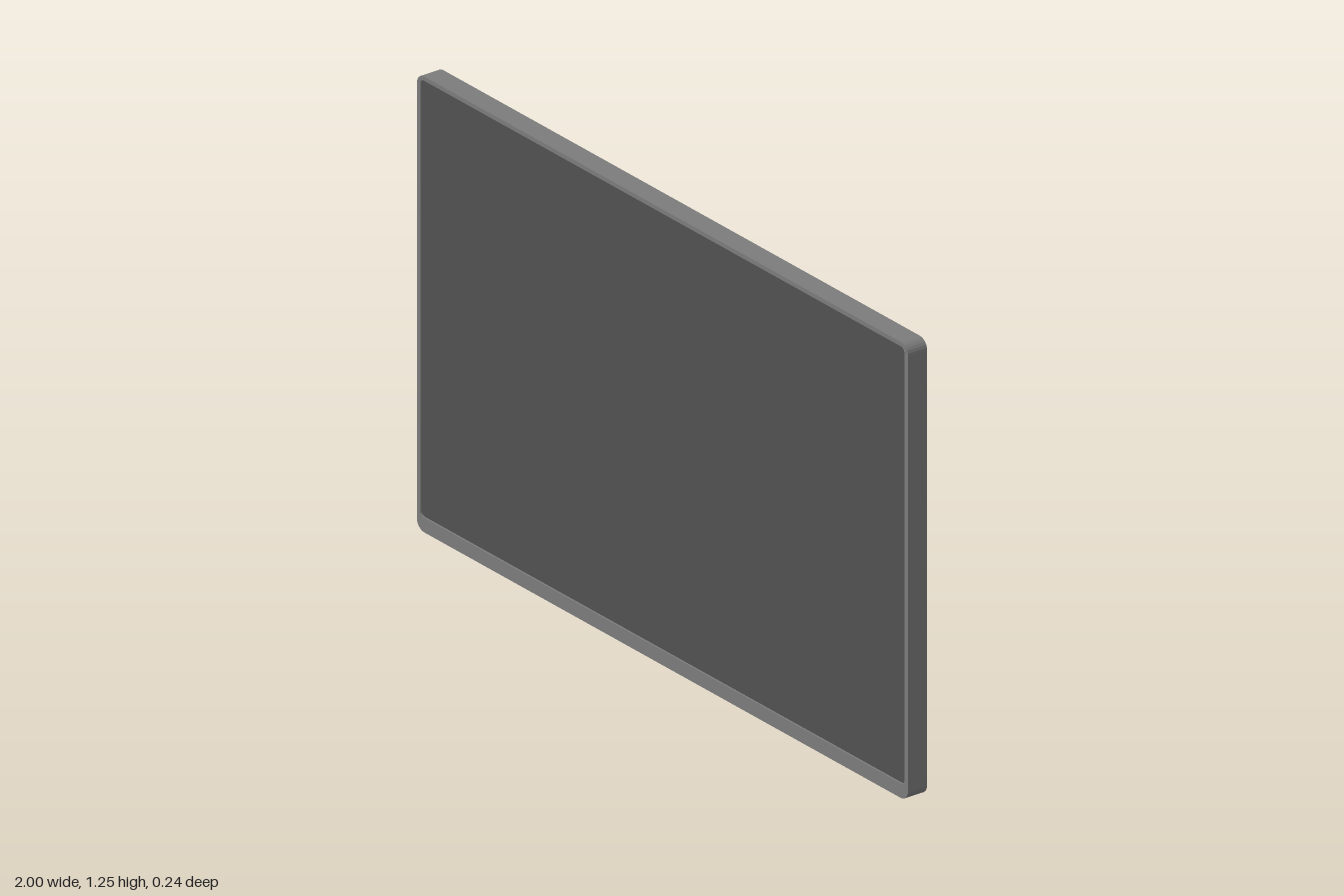
import * as THREE from 'three';

const BODY = new THREE.MeshStandardMaterial({ color: 0x7c7c7c, side: THREE.DoubleSide });
const SCREEN = new THREE.MeshStandardMaterial({ color: 0x515151 });
const METAL = new THREE.MeshStandardMaterial({ color: 0xc6c6ba });
BODY.name = 'grey casing';
SCREEN.name = 'dark screen';
METAL.name = 'pale metal';

const RIM_Z = 0.06, FRONT_Z = 0.12, BACK_X = 0.72;
const slopeZ = (x) => RIM_Z * Math.max(0, (Math.abs(x) - BACK_X) / (1 - BACK_X));

const poly = (pts) => new THREE.Shape(pts.map(([x, y]) => new THREE.Vector2(x, y)));
const rect = (x0, x1, y0, y1) => [[x0, y0], [x1, y0], [x1, y1], [x0, y1]];

// Counter-clockwise rounded rectangle, one list of points per corner
function corners(x, y0, y1, r, n = 6) {
  const centres = [[x - r, y1 - r], [-x + r, y1 - r], [-x + r, y0 + r], [x - r, y0 + r]];
  return centres.map(([cx, cy], q) => Array.from({ length: n + 1 }, (_, i) => {
    const a = (q + i / n) * Math.PI / 2;
    return [cx + r * Math.cos(a), cy + r * Math.sin(a)];
  }));
}

function add(parent, name, geo, mat, x = 0, y = 0, z = 0) {
  const m = new THREE.Mesh(geo, mat);
  m.name = name;
  m.position.set(x, y, z);
  parent.add(m);
  return m;
}

const box = (parent, name, mat, w, h, d, x, y, z) =>
  add(parent, name, new THREE.BoxGeometry(w, h, d), mat, x, y, z);

// Flat outline facing backwards, with z set by a rule
function backFace(pts, zOf, holes = []) {
  const s = poly(pts);
  s.holes = holes.map(poly);
  const g = new THREE.ShapeGeometry(s);
  const p = g.attributes.position;
  for (let i = 0; i < p.count; i++) p.setZ(i, zOf(p.getX(i)));
  g.index.array.reverse();
  g.computeVertexNormals();
  return g;
}

// Strip of quads between two rows of 3D points
function strip(a, b) {
  const idx = [];
  for (let i = 0; i < a.length - 1; i++) {
    const k = a.length + i;
    idx.push(i, k, i + 1, i + 1, k, k + 1);
  }
  const g = new THREE.BufferGeometry();
  g.setAttribute('position', new THREE.Float32BufferAttribute([...a, ...b].flat(), 3));
  g.setIndex(idx);
  g.computeVertexNormals();
  return g;
}

// Pocket sunk into the back: walls down to a flat floor
function pocket(parent, name, pts, zOf, depth) {
  pts.forEach((p, i) => {
    const q = pts[(i + 1) % pts.length];
    add(parent, name + 'Wall', strip(
      [[...p, zOf(p[0])], [...q, zOf(q[0])]], [[...p, depth], [...q, depth]]), BODY);
  });
  add(parent, name + 'Floor', backFace(pts, () => depth), BODY);
}

function buildDisplay() {
  const g = new THREE.Group();
  g.name = 'display';

  // Rim and front bezel
  const frame = poly(corners(1, 0, 1.25, 0.03).flat());
  frame.holes.push(poly(corners(0.985, 0.04, 1.238, 0.012, 3).flat()));
  add(g, 'bezel', new THREE.ExtrudeGeometry(frame, { depth: FRONT_Z - RIM_Z, bevelEnabled: false }),
    BODY, 0, 0, RIM_Z);
  add(g, 'screen', new THREE.ShapeGeometry(poly(rect(-0.987, 0.987, 0.038, 1.24))), SCREEN, 0, 0, 0.115);

  // Raised back panel with the connector pocket
  const inner = corners(BACK_X, 0.13, 1.07, 0.06);
  const outer = corners(1, 0, 1.25, 0.03);
  const lPocket = [[-0.647, 0.228], [-0.484, 0.228], [-0.484, 0.35], [-0.583, 0.35], [-0.583, 0.402], [-0.647, 0.402]];
  const sidePocket = rect(-0.883, -0.74, 0.242, 0.542);
  const buttonSlot = rect(0.935, 0.967, 0.18, 0.48);
  add(g, 'backPanel', backFace(inner.flat(), () => 0, [lPocket]), BODY);

  // Sloping sides and rounded slope corners
  const sideHoles = { 1: [sidePocket], 3: [buttonSlot] };
  for (let q = 0; q < 4; q++) {
    const r = (q + 1) % 4;
    const at = (p, z) => [...p, z];
    add(g, 'slopeCorner', strip(inner[q].map((p) => at(p, 0)), outer[q].map((p) => at(p, RIM_Z))), BODY);
    const i0 = inner[q].at(-1), i1 = inner[r][0], o0 = outer[q].at(-1), o1 = outer[r][0];
    if (sideHoles[q]) {
      add(g, 'sideSlope', backFace([i0, o0, o1, i1], slopeZ, sideHoles[q]), BODY);
    } else {
      add(g, 'slope', strip([at(i0, 0), at(i1, 0)], [at(o0, RIM_Z), at(o1, RIM_Z)]), BODY);
    }
  }

  // Pockets with their sockets and buttons
  pocket(g, 'connectorPocket', lPocket, () => 0, 0.035);
  pocket(g, 'sidePocket', sidePocket, slopeZ, 0.035);
  pocket(g, 'buttonSlot', buttonSlot, slopeZ, slopeZ(0.967));
  for (let i = 0; i < 6; i++) {
    box(g, 'button', BODY, 0.018, 0.026, 0.012, 0.95, 0.215 + i * 0.046, 0.049);
  }
  for (let i = 0; i < 4; i++) {
    box(g, 'sideSocket', BODY, 0.01, 0.025, 0.015, -0.744, 0.38 + i * 0.04, 0.021);
  }
  for (let i = 0; i < 5; i++) {
    box(g, 'lowerSocket', BODY, 0.018, 0.012, 0.015, -0.51 - i * 0.028, 0.236, 0.022);
  }
  for (const x of [-0.5, -0.632]) box(g, 'upperSocket', BODY, 0.025, 0.022, 0.022, x, 0.32, 0.024);
  return g;
}

function buildMount() {
  const g = new THREE.Group();
  g.name = 'wallMount';
  const MID = 0.625;
  const extrude = (pts, depth, holes = []) => {
    const s = poly(pts);
    s.holes = holes.map(poly);
    return new THREE.ExtrudeGeometry(s, { depth, bevelEnabled: false });
  };

  // Arched rails above and below
  const arc = (base, rise, dir) => Array.from({ length: 13 }, (_, i) => {
    const t = dir * (i / 6 - 1);
    return [t * 0.3, base + rise * (1 - t * t)];
  });
  const rail = [...arc(0.155, 0.015, 1), ...arc(0.19, 0.025, -1)];
  add(g, 'topRail', extrude(rail, 0.018), METAL, 0, MID, -0.12);
  add(g, 'bottomRail', extrude(rail, 0.018), METAL, 0, MID, -0.102).rotation.x = Math.PI;

  // Centre cover
  box(g, 'centreCover', METAL, 0.2, 0.15, 0.018, 0, MID, -0.109);

  // Bent wing with an opening, running out from the cover to the hinge
  const wing = [[0, -0.155], [0.025, -0.155], [0.14, -0.065], [0.14, 0.065], [0.025, 0.155], [0, 0.155]];
  const opening = [[0.012, -0.075], [0.045, -0.09], [0.118, -0.045], [0.118, 0.045], [0.045, 0.09], [0.012, 0.075]];
  // Hinge bracket profile: u runs away from the display
  const bracket = [[0, -0.1], [0.04, -0.085], [0.055, -0.06], [0.055, 0.06], [0.04, 0.085], [0, 0.1]];
  const bracketHole = [[0.008, -0.07], [0.032, -0.06], [0.037, -0.04], [0.037, 0.04], [0.032, 0.06], [0.008, 0.07]];

  for (const side of [1, -1]) {
    const half = new THREE.Group();
    half.name = side > 0 ? 'leftHalf' : 'rightHalf';
    half.rotation.y = side > 0 ? 0 : Math.PI;
    g.add(half);
    // A half turn reverses depth, so z is mirrored for the second side
    const Z = (z) => side * z;

    // Plate screwed to the display
    box(half, 'displayPlate', METAL, 0.13, 0.31, 0.01, 0.125, MID, Z(-0.005));
    for (const y of [-0.12, 0.12]) {
      const screw = add(half, 'screw', new THREE.CylinderGeometry(0.01, 0.01, 0.006, 12), METAL,
        0.155, MID + y, Z(-0.013));
      screw.rotation.x = Math.PI / 2;
    }

    // Flat strip joining cover to rails, and the slanted wing
    for (const y of [-1, 1]) {
      add(half, 'railArm', extrude(
        [[0.06, y * 0.07], [0.1, y * 0.07], [0.1, y * 0.165], [0.085, y * 0.165]], 0.012),
      METAL, 0, MID, side > 0 ? -0.113 : 0.101);
    }
    const w = add(half, 'wing', extrude(wing, 0.01, [opening]), METAL, 0.096, MID, Z(-0.102));
    w.rotation.y = -side * 0.35;

    // Bracket, pin and link
    const b = add(half, 'hingeBracket', extrude(bracket, 0.014, [bracketHole]), METAL,
      side > 0 ? 0.132 : 0.118, MID, 0);
    b.rotation.y = side * Math.PI / 2;
    add(half, 'hingePin', new THREE.CylinderGeometry(0.009, 0.009, 0.14, 12), METAL, 0.125, MID, Z(-0.046));
    add(half, 'wingPin', new THREE.CylinderGeometry(0.008, 0.008, 0.13, 12), METAL, 0.225, MID, Z(-0.052));
    box(half, 'hingeLink', METAL, 0.1, 0.05, 0.008, 0.175, MID, Z(-0.05));
  }
  return g;
}

export function createModel() {
  const model = new THREE.Group();
  model.name = 'wallMountedDisplay';
  model.add(buildDisplay(), buildMount());
  return model;
}
